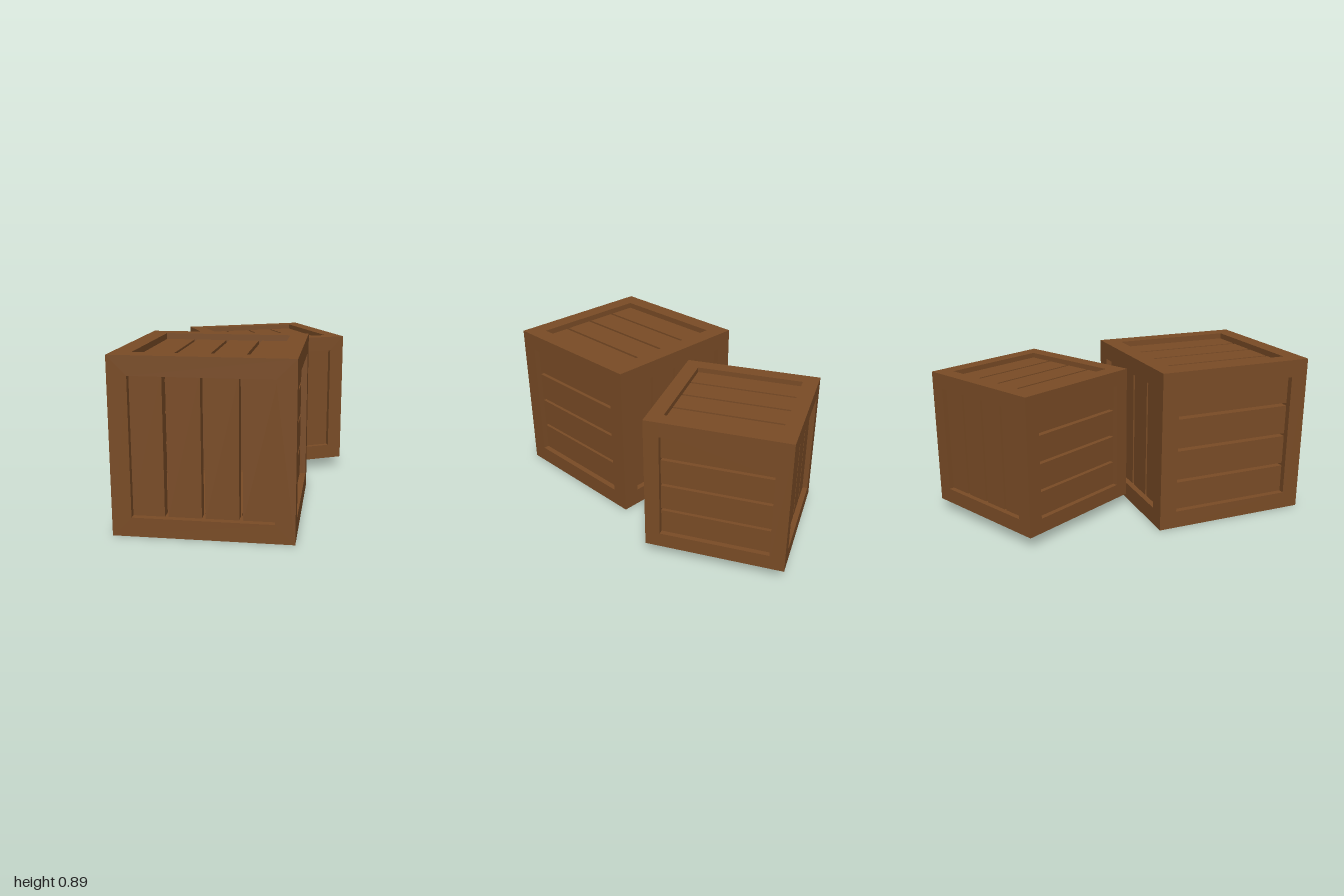
import * as THREE from 'three';

const SIZE = 0.89;        // outer edge of the full-size crate
const BAR = 0.097;        // frame bar thickness
const OPEN = SIZE - 2 * BAR;
const RECESS = 0.033;     // slats sit this far behind the frame face
const SLAT = { pitch: 0.182, width: 0.165, depth: 0.057, length: OPEN + 0.016 };

const wood = new THREE.MeshStandardMaterial({ color: 0x7a4c26 });
wood.name = 'brownWood';

function addMesh(parent, name, geometry) {
  const mesh = new THREE.Mesh(geometry, wood);
  mesh.name = name;
  parent.add(mesh);
  return mesh;
}

// Square picture-frame outline with a square opening
function frameGeometry() {
  const square = (h) => [[-h, -h], [h, -h], [h, h], [-h, h]].map(([x, y]) => new THREE.Vector2(x, y));
  const shape = new THREE.Shape(square(SIZE / 2));
  shape.holes.push(new THREE.Path(square(OPEN / 2).reverse()));
  return new THREE.ExtrudeGeometry(shape, { depth: BAR, bevelEnabled: false });
}

// Four parallel slats, facing +z, running along y
function createSlatPanel(name) {
  const panel = new THREE.Group();
  panel.name = name;
  const geometry = new THREE.BoxGeometry(SLAT.width, SLAT.length, SLAT.depth);
  for (let i = 0; i < 4; i++) {
    const slat = addMesh(panel, 'slat', geometry);
    slat.position.set((i - 1.5) * SLAT.pitch, 0, SIZE / 2 - RECESS - SLAT.depth / 2);
  }
  return panel;
}

function createCrate(name) {
  const crate = new THREE.Group();
  crate.name = name;

  // Front and back frames
  const frame = frameGeometry();
  addMesh(crate, 'frontFrame', frame).position.z = SIZE / 2 - BAR;
  addMesh(crate, 'backFrame', frame).position.z = -SIZE / 2;

  // Rails joining the frames at the four corners
  const rail = new THREE.BoxGeometry(BAR, BAR, OPEN);
  const offset = (SIZE - BAR) / 2;
  for (const sx of [-1, 1]) {
    for (const sy of [-1, 1]) {
      addMesh(crate, 'sideRail', rail).position.set(sx * offset, sy * offset, 0);
    }
  }

  // Slat panels: upright on front and back, level on the sides, front-to-back on top and bottom
  const q = Math.PI / 2;
  const panels = [
    ['frontSlats', 0, 0, 0],
    ['backSlats', 0, 2 * q, 0],
    ['leftSlats', 0, q, q],
    ['rightSlats', 0, -q, q],
    ['topSlats', -q, 0, 0],
    ['bottomSlats', q, 0, 0],
  ];
  for (const [label, rx, ry, rz] of panels) {
    const panel = createSlatPanel(label);
    panel.rotation.set(rx, ry, rz);
    crate.add(panel);
  }
  return crate;
}

export function createModel() {
  const model = new THREE.Group();
  model.name = 'crates';

  const large = createCrate('largeCrate');
  large.position.set(-0.048, SIZE / 2, 0.52);
  large.rotation.y = 0.077;

  const small = createCrate('smallCrate');
  small.position.set(-0.002, SIZE / 2 + 0.001, -0.478);
  small.rotation.y = 0.537;
  small.scale.setScalar(0.858);

  model.add(large, small);
  return model;
}
